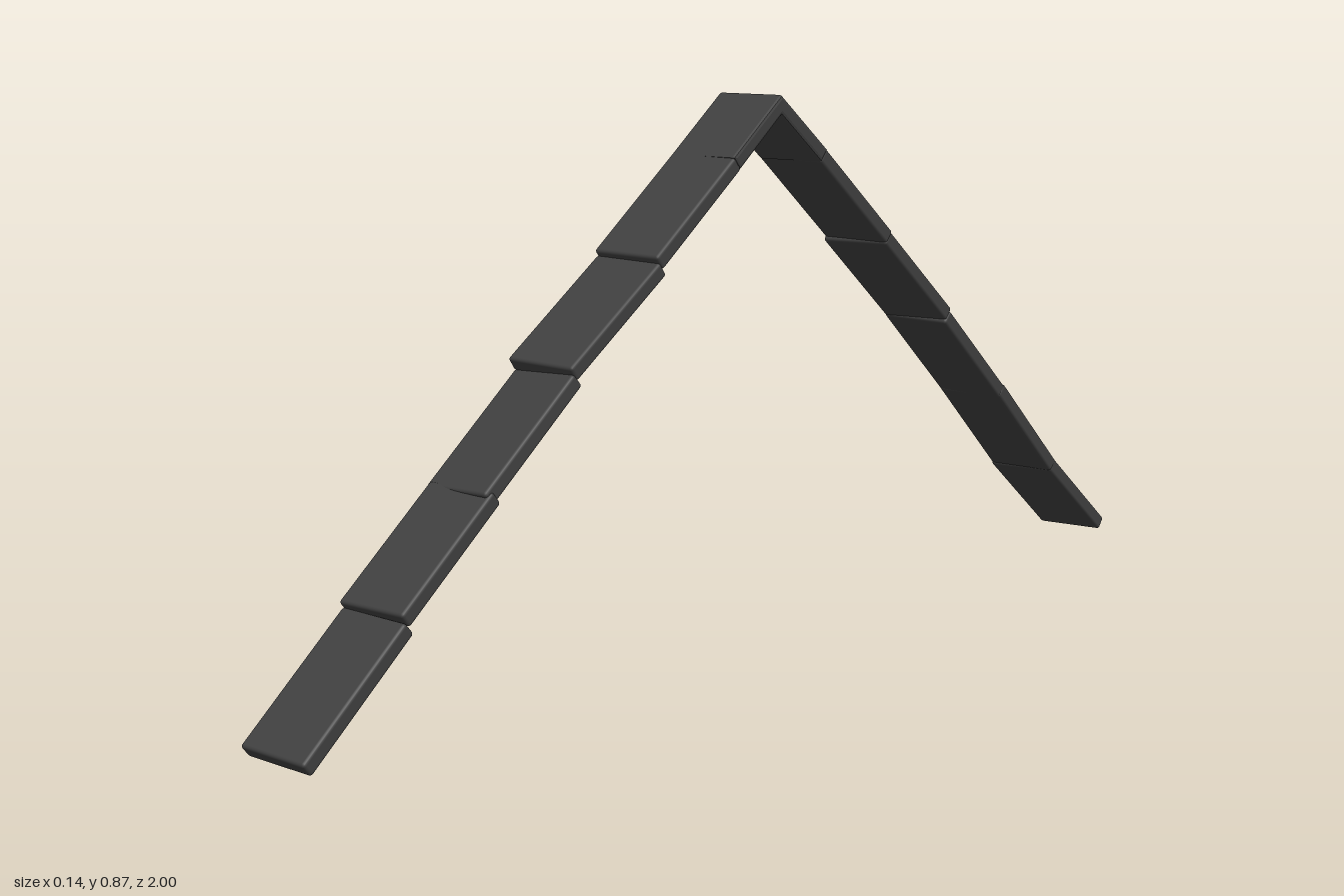
import * as THREE from 'three';
import { RoundedBoxGeometry } from 'three/addons/geometries/RoundedBoxGeometry.js';

const WIDTH = 0.13, THICK = 0.025, BEVEL = 0.005;

export function createModel() {
  const model = new THREE.Group();
  model.name = 'ridgeTiles';
  const material = new THREE.MeshStandardMaterial({ color: 0x404040 });

  // One flat tile between two centre points, rolled slightly about its length
  function addTile(name, a, b, roll) {
    const start = new THREE.Vector3(...a), end = new THREE.Vector3(...b);
    const length = start.distanceTo(end) + 0.004;
    const tile = new THREE.Mesh(new RoundedBoxGeometry(WIDTH, THICK, length, 2, BEVEL), material);
    tile.name = name;
    tile.position.copy(start).add(end).multiplyScalar(0.5);
    tile.lookAt(end);
    tile.rotateZ(roll);
    model.add(tile);
  }

  // Front slope, from the foot up: lower end, upper end, roll
  [
    [[-0.007, 0.01, 0.992], [-0.003, 0.167, 0.808], 0.03],
    [[-0.004, 0.178, 0.812], [-0.004, 0.321, 0.635], 0],
    [[-0.007, 0.318, 0.642], [-0.001, 0.467, 0.464], -0.05],
    [[-0.002, 0.481, 0.473], [0.001, 0.617, 0.282], 0.03],
    [[0.001, 0.627, 0.286], [0.005, 0.765, 0.11], 0.02],
  ].forEach(([a, b, roll], i) => addTile('frontTile' + (i + 1), a, b, roll));

  // Back slope, from the ridge down
  [
    [[0.002, 0.766, -0.11], [0, 0.619, -0.292], 0.02],
    [[0, 0.616, -0.288], [-0.002, 0.469, -0.468], -0.02],
    [[-0.001, 0.466, -0.466], [-0.006, 0.311, -0.645], 0.03],
    [[-0.005, 0.314, -0.642], [-0.007, 0.15, -0.818], 0],
    [[-0.007, 0.15, -0.816], [-0.008, 0.01, -0.992], -0.02],
  ].forEach(([a, b, roll], i) => addTile('backTile' + (i + 1), a, b, roll));

  // Folded cap over the ridge
  const profile = new THREE.Shape([
    [0, 0.866], [-0.118, 0.774], [-0.102, 0.755], [0, 0.835], [0.102, 0.755], [0.118, 0.774],
  ].map(([z, y]) => new THREE.Vector2(z, y)));
  const capGeometry = new THREE.ExtrudeGeometry(profile, {
    depth: WIDTH - 2 * BEVEL, bevelSize: BEVEL, bevelThickness: BEVEL, bevelOffset: -BEVEL, bevelSegments: 2,
  });
  capGeometry.translate(0, 0, -WIDTH / 2 + BEVEL).rotateY(-Math.PI / 2);
  const cap = new THREE.Mesh(capGeometry, material);
  cap.name = 'ridgeCap';
  cap.position.x = 0.004;
  model.add(cap);

  return model;
}
